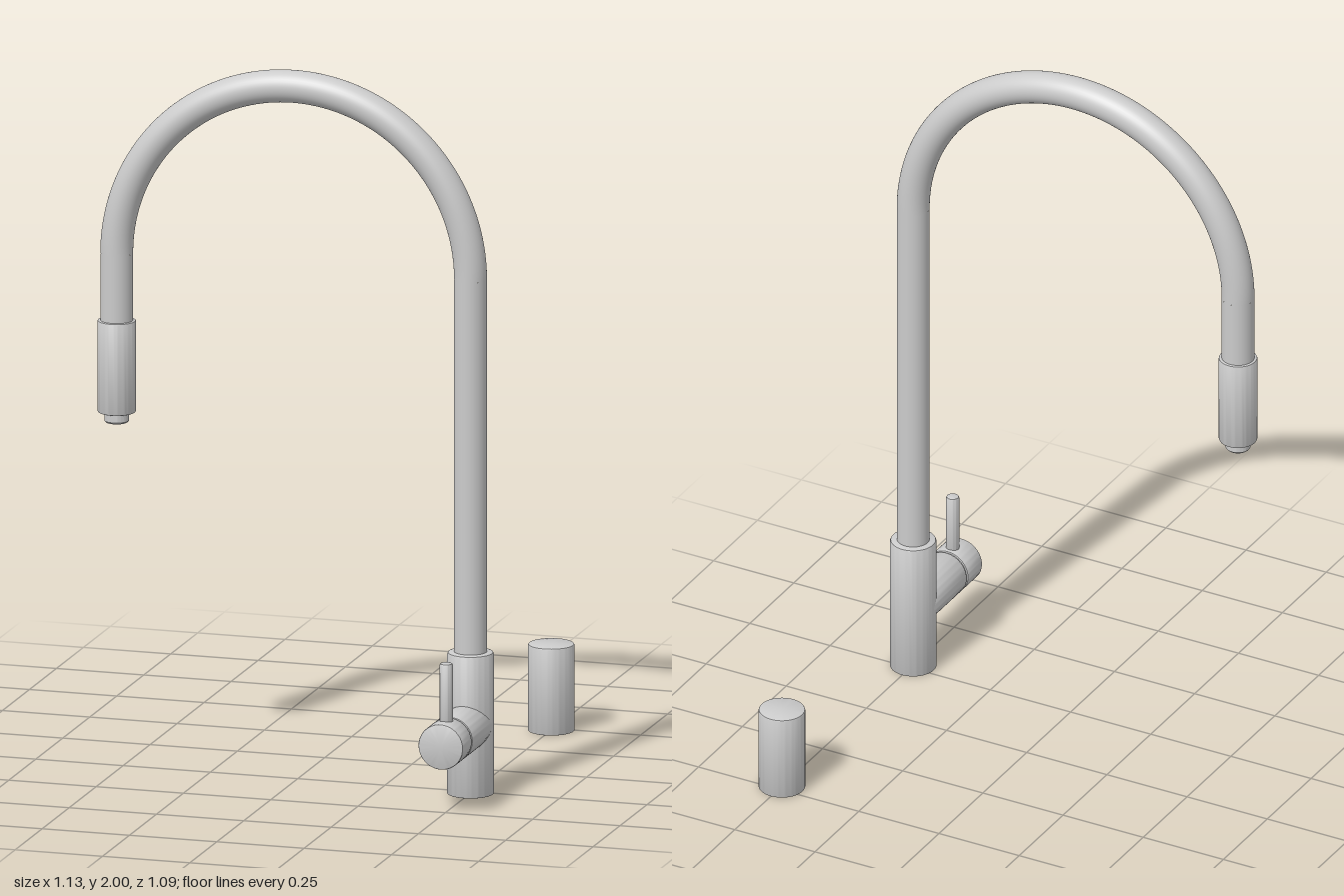
import * as THREE from 'three';
import { toCreasedNormals } from 'three/addons/utils/BufferGeometryUtils.js';

const material = new THREE.MeshStandardMaterial({ color: 0xcccccc });
const SIDES = 64;

function addMesh(parent, name, geometry, x, y, z) {
  const mesh = new THREE.Mesh(geometry, material);
  mesh.name = name;
  mesh.position.set(x, y, z);
  parent.add(mesh);
  return mesh;
}

// Turned part from [radius, height] pairs, bottom to top, with crisp edges
function turned(profile) {
  const points = profile.map(([r, h]) => new THREE.Vector2(r, h));
  return toCreasedNormals(new THREE.LatheGeometry(points, SIDES), 0.6);
}

// Closed cylinder from h0 to h1 with small bevels at both ends
function bevelled(r, h0, h1, b0, b1) {
  return turned([[0, h0], [r - b0, h0], [r - b0 * 0.3, h0 + b0 * 0.3], [r, h0 + b0],
    [r, h1 - b1], [r - b1 * 0.3, h1 - b1 * 0.3], [r - b1, h1], [0, h1]]);
}

export function createModel() {
  const model = new THREE.Group();
  model.name = 'kitchenTap';

  const postX = 0.5, spoutX = -0.513, tapZ = 0.267;
  const pipeR = 0.045, bendR = (postX - spoutX) / 2, bendY = 2 - pipeR - bendR;

  // Base body
  addMesh(model, 'body', bevelled(0.064, 0, 0.4, 0.002, 0.008), postX, 0, tapZ);

  // Gooseneck: riser, half-circle bend and drop
  const neck = new THREE.Group();
  neck.name = 'neck';
  model.add(neck);
  const straight = (name, x, y0) => addMesh(neck, name,
    new THREE.CylinderGeometry(pipeR, pipeR, bendY - y0, SIDES, 1, true), x, (bendY + y0) / 2, tapZ);
  straight('riser', postX, 0.38);
  straight('drop', spoutX, 1.24);
  addMesh(neck, 'bend', new THREE.TorusGeometry(bendR, pipeR, 40, 120, Math.PI),
    (postX + spoutX) / 2, bendY, tapZ);

  // Spray head with a recessed nozzle
  addMesh(model, 'sprayHead', bevelled(0.053, 1.0, 1.26, 0.006, 0.004), spoutX, 0, tapZ);
  addMesh(model, 'nozzle', turned([[0, 0.982], [0.01, 0.982], [0.012, 0.972], [0.029, 0.972],
    [0.034, 0.977], [0.034, 1.01]]), spoutX, 0, tapZ);

  // Side valve pointing forward, with a groove before the turning cap
  const valve = new THREE.Group();
  valve.name = 'valve';
  valve.position.set(postX, 0.195, 0);
  model.add(valve);
  const lying = (name, geometry) => { addMesh(valve, name, geometry, 0, 0, 0).rotation.x = Math.PI / 2; };
  lying('valveBarrel', bevelled(0.064, tapZ, 0.456, 0.002, 0.002));
  lying('valveGroove', new THREE.CylinderGeometry(0.059, 0.059, 0.03, SIDES).translate(0, 0.459, 0));
  lying('valveCap', bevelled(0.064, 0.463, 0.545, 0.002, 0.004));

  // Lever standing on the cap
  addMesh(model, 'lever', bevelled(0.018, 0.22, 0.42, 0.002, 0.005), postX, 0, 0.492);

  // Separate round stand-alone control behind the tap
  addMesh(model, 'rearControl', bevelled(0.064, 0, 0.245, 0.002, 0.005), postX, 0, -0.481);

  return model;
}
